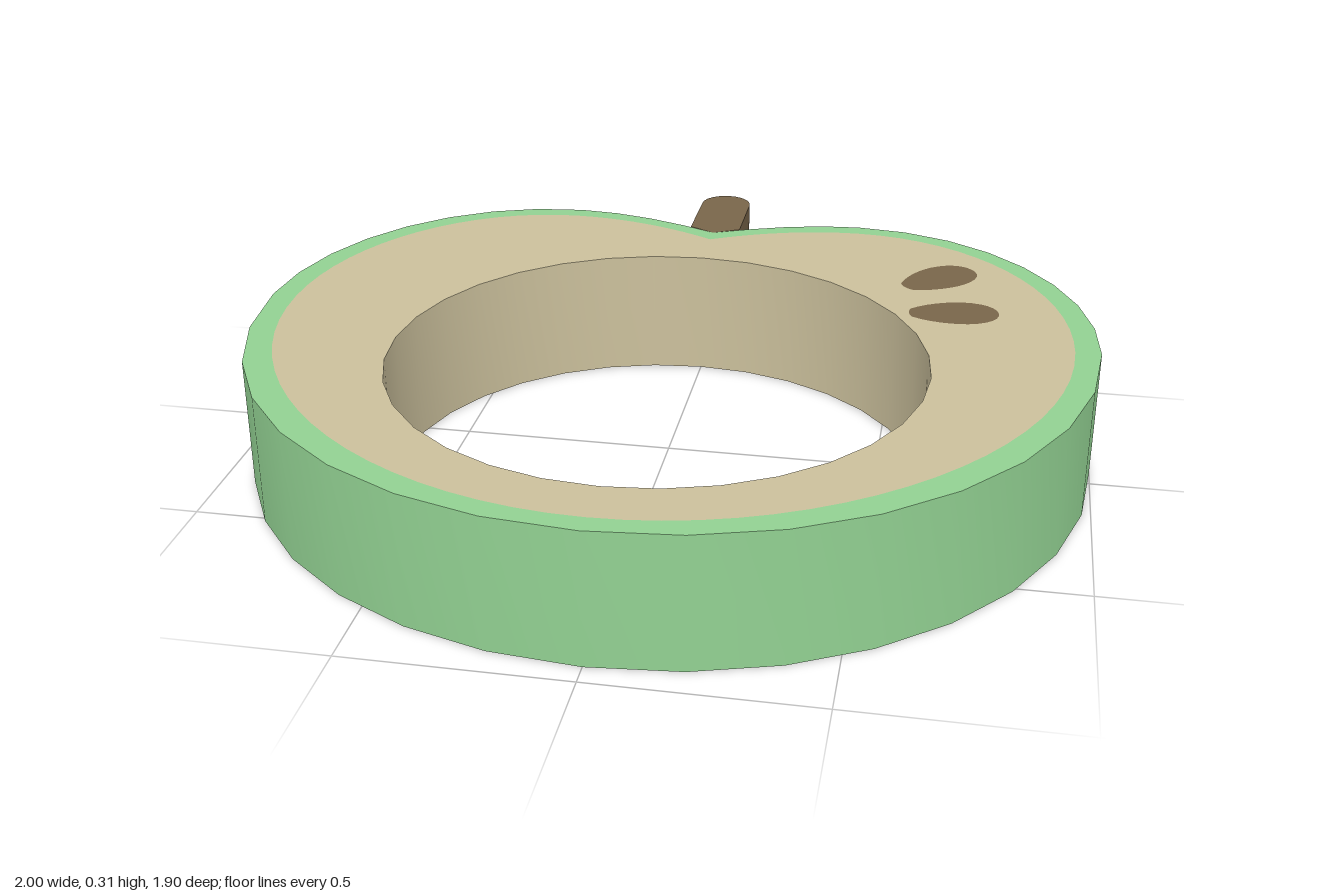
import * as THREE from 'three';
import { toCreasedNormals } from 'three/addons/utils/BufferGeometryUtils.js';

const HEIGHT = 0.31;

// Half outline as cubic curves [c1x, c1z, c2x, c2z, x, z], starting at the bottom centre; mirrored to close
function appleOutline(startZ, curves, steps) {
  const half = [];
  let from = new THREE.Vector2(0, -startZ);
  curves.forEach((c, i) => {
    const to = new THREE.Vector2(c[4], -c[5]);
    const pts = new THREE.CubicBezierCurve(
      from, new THREE.Vector2(c[0], -c[1]), new THREE.Vector2(c[2], -c[3]), to
    ).getPoints(steps[i]);
    half.push(...(i ? pts.slice(1) : pts));
    from = to;
  });
  const mirrored = half.slice(1, -1).reverse().map(p => new THREE.Vector2(-p.x, p.y));
  return [...half, ...mirrored];
}

// Teardrop with its tip at (x, z), pointing along the given angle
function seedOutline(x, z, angle) {
  const s = new THREE.Shape();
  s.moveTo(0, 0.025);
  s.bezierCurveTo(0.04, 0.055, 0.09, 0.068, 0.13, 0.066);
  s.bezierCurveTo(0.18, 0.062, 0.21, 0.035, 0.21, 0);
  s.bezierCurveTo(0.21, -0.035, 0.18, -0.062, 0.13, -0.066);
  s.bezierCurveTo(0.09, -0.068, 0.04, -0.055, 0, -0.025);
  s.quadraticCurveTo(-0.012, 0, 0, 0.025);
  const pts = s.getPoints(6);
  pts.pop();
  return pts.map(p => p.rotateAround(new THREE.Vector2(), angle).add(new THREE.Vector2(x, -z)));
}

// Upright slab from a plan outline, with smooth walls and sharp rims
function slab(name, outline, holes, material) {
  const shape = new THREE.Shape(outline);
  shape.holes = holes.map(h => new THREE.Path(h));
  const geo = new THREE.ExtrudeGeometry(shape, { depth: HEIGHT, bevelEnabled: false });
  geo.rotateX(-Math.PI / 2);
  const mesh = new THREE.Mesh(toCreasedNormals(geo, 0.6), material);
  mesh.name = name;
  return mesh;
}

export function createModel() {
  const skinGreen = new THREE.MeshStandardMaterial({ name: 'skinGreen', color: 0x92d192 });
  const fleshTan = new THREE.MeshStandardMaterial({ name: 'fleshTan', color: 0xcbc09c });
  const stemBrown = new THREE.MeshStandardMaterial({ name: 'stemBrown', color: 0x79654a });

  const group = new THREE.Group();
  group.name = 'appleRing';

  const outer = appleOutline(0.948, [
    [0.56, 0.948, 1, 0.51, 1, -0.05],
    [1, -0.45, 0.72, -0.768, 0.38, -0.768],
    [0.25, -0.768, 0.12, -0.72, 0, -0.66],
  ], [8, 8, 4]);
  const inner = appleOutline(0.895, [
    [0.5, 0.895, 0.94, 0.45, 0.94, -0.05],
    [0.94, -0.42, 0.69, -0.722, 0.38, -0.722],
    [0.25, -0.722, 0.12, -0.68, 0, -0.61],
  ], [20, 16, 10]);

  // Round opening through the flesh
  const opening = new THREE.Path().absarc(0, -0.147, 0.622, 0, Math.PI * 2).getSpacedPoints(32);
  opening.pop();

  // Seeds run right through, flush with both faces
  const seeds = [seedOutline(0.535, -0.375, 0.76), seedOutline(0.555, -0.215, 0.15)];

  group.add(slab('skin', outer, [inner], skinGreen));
  group.add(slab('flesh', inner, [opening, ...seeds], fleshTan));
  seeds.forEach((s, i) => group.add(slab(`seed${i + 1}`, s, [], stemBrown)));

  // Stem: rounded outer end, wedge fitted into the notch
  const w = 0.066;
  const stem = [new THREE.Vector2(0, 0.66), new THREE.Vector2(w, 0.695)];
  for (let i = 0; i <= 12; i++) {
    const a = (i / 12) * Math.PI;
    stem.push(new THREE.Vector2(w * Math.cos(a), 0.886 + w * Math.sin(a)));
  }
  stem.push(new THREE.Vector2(-w, 0.695));
  group.add(slab('stem', stem, [], stemBrown));

  return group;
}
